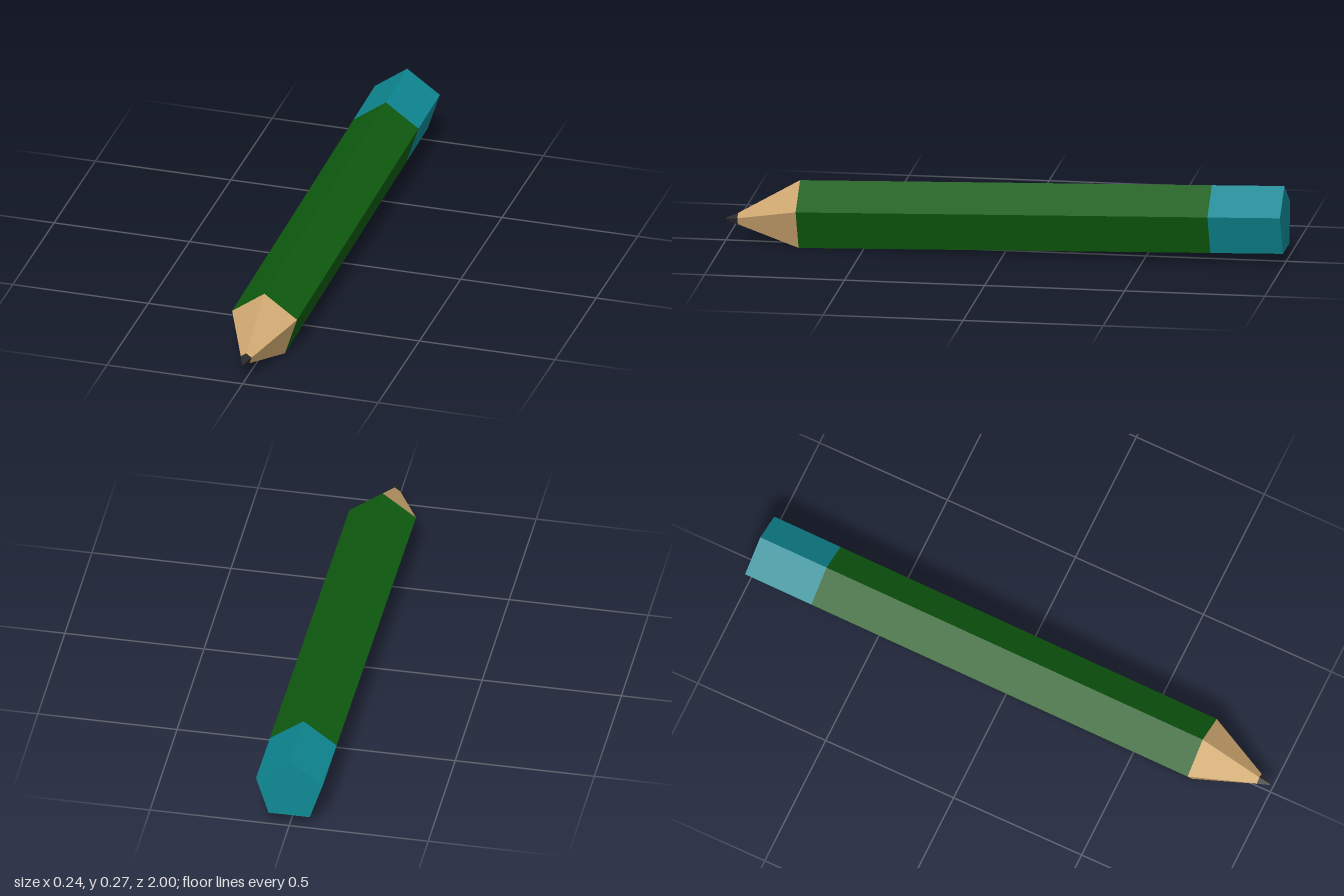
import * as THREE from 'three';

const SIDES = 5;
const TILT = 0.0266; // the shaft rises slightly towards the back

const material = (name, color) => {
  const m = new THREE.MeshStandardMaterial({ color });
  m.name = name;
  return m;
};

// Pentagon with one corner up, square to the tilted shaft
function ring({ z, y, r }) {
  return Array.from({ length: SIDES }, (_, i) => {
    const a = Math.PI / 2 + (i * 2 * Math.PI) / SIDES;
    const dy = Math.sin(a) * r;
    return [Math.cos(a) * r, y + dy, z + dy * TILT];
  });
}

// Flat-sided segment between two pentagons, with optional end caps
function segment(name, mat, back, front, { capBack = false, capFront = false } = {}) {
  const b = ring(back), f = ring(front), pos = [];
  const tri = (...pts) => pts.forEach((p) => pos.push(...p));
  for (let i = 0; i < SIDES; i++) {
    const j = (i + 1) % SIDES;
    tri(b[i], b[j], f[j]);
    tri(b[i], f[j], f[i]);
    if (capBack) tri([0, back.y, back.z], b[j], b[i]);
    if (capFront) tri([0, front.y, front.z], f[i], f[j]);
  }
  const geo = new THREE.BufferGeometry();
  geo.setAttribute('position', new THREE.Float32BufferAttribute(pos, 3));
  geo.computeVertexNormals();
  const mesh = new THREE.Mesh(geo, mat);
  mesh.name = name;
  return mesh;
}

export function createModel() {
  const green = material('green paint', 0x0f5c10);
  const teal = material('teal', 0x0e8893);
  const wood = material('bare wood', 0xcfa870);
  const graphite = material('graphite', 0x2a2a2c);

  // Cross-sections from the blunt end to the point
  const end = { z: -0.997, y: 0.149, r: 0.126 };
  const band = { z: -0.738, y: 0.142, r: 0.126 };
  const shoulder = { z: 0.732, y: 0.103, r: 0.126 };
  const leadBase = { z: 0.956, y: 0.08, r: 0.021 };
  const tip = { z: 1, y: 0.078, r: 0.004 };

  const group = new THREE.Group();
  group.name = 'pencil';
  group.add(
    segment('endCap', teal, end, band, { capBack: true }),
    segment('shaft', green, band, shoulder),
    segment('sharpenedWood', wood, shoulder, leadBase),
    segment('lead', graphite, leadBase, tip, { capFront: true }),
  );
  return group;
}
